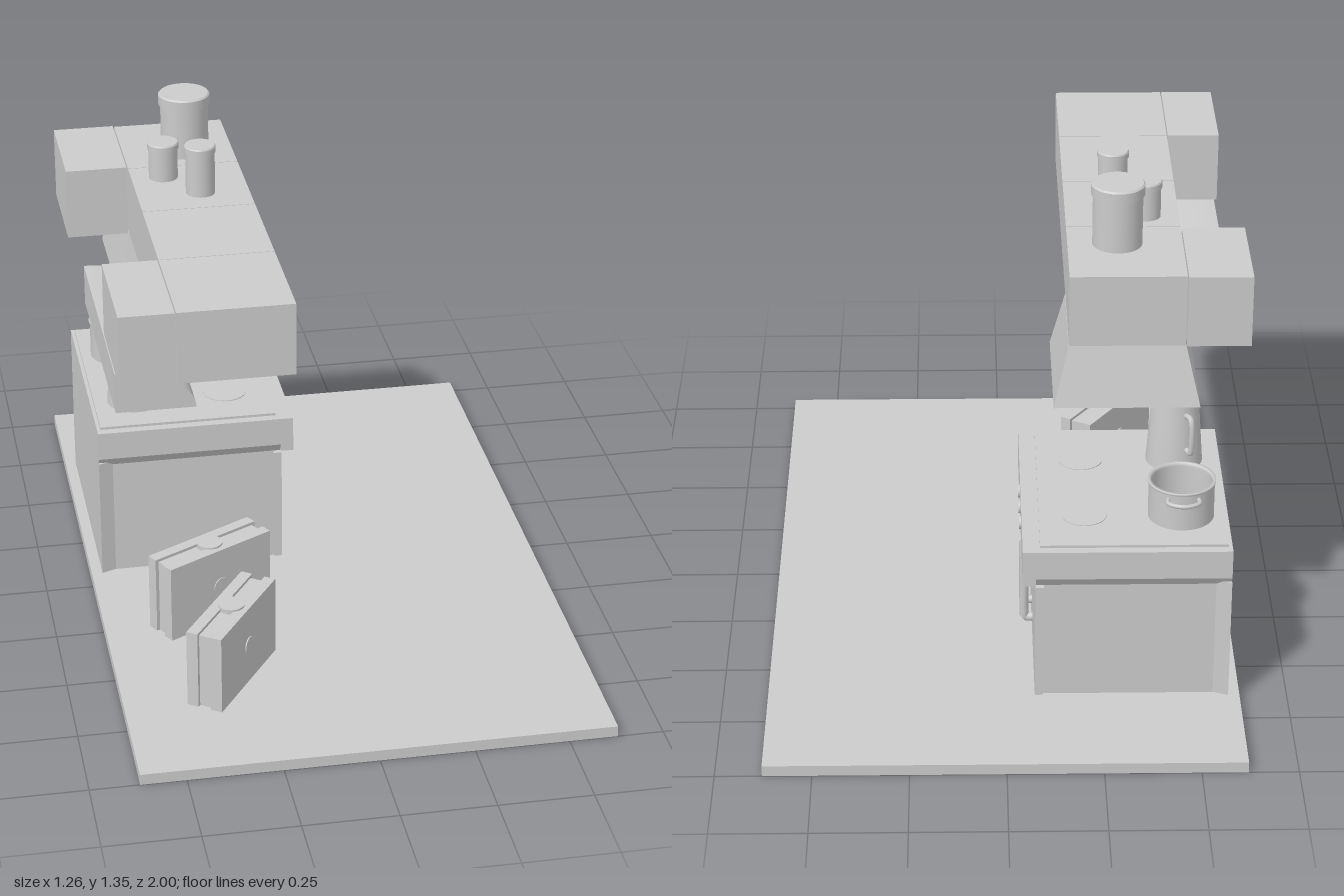
import * as THREE from 'three';

const grey = new THREE.MeshStandardMaterial({ color: 0xcccccc });
const thin = new THREE.MeshStandardMaterial({ color: 0xcccccc, side: THREE.DoubleSide });

function add(parent, name, geometry, x = 0, y = 0, z = 0, material = grey) {
  const mesh = new THREE.Mesh(geometry, material);
  mesh.name = name;
  mesh.position.set(x, y, z);
  parent.add(mesh);
  return mesh;
}

// Box given by its limits on each axis
function block(parent, name, x0, x1, y0, y1, z0, z1) {
  return add(parent, name, new THREE.BoxGeometry(x1 - x0, y1 - y0, z1 - z0),
    (x0 + x1) / 2, (y0 + y1) / 2, (z0 + z1) / 2);
}

function lathe(points, segments = 40, start = 0) {
  return new THREE.LatheGeometry(points.map(([r, y]) => new THREE.Vector2(r, y)), segments, start);
}

function tube(points, radius) {
  const curve = new THREE.CatmullRomCurve3(points.map(p => new THREE.Vector3(...p)));
  return new THREE.TubeGeometry(curve, 24, radius, 8);
}

function group(parent, name, x = 0, y = 0, z = 0, turn = 0) {
  const g = new THREE.Group();
  g.name = name;
  g.position.set(x, y, z);
  g.rotation.y = turn;
  parent.add(g);
  return g;
}

function addStove(root) {
  const stove = group(root, 'stove');
  // Body plan: sides step inwards past the rear corner posts
  const plan = new THREE.Shape([[-0.59, 0.02], [-0.55, 0.035], [-0.08, 0.035], [-0.08, 0.67], [-0.55, 0.67], [-0.59, 0.685]]
    .map(p => new THREE.Vector2(...p)));
  const body = new THREE.ExtrudeGeometry(plan, { depth: 0.345, bevelEnabled: false }).rotateX(-Math.PI / 2);
  add(stove, 'stoveBody', body, 0, 0.03, 0);
  // Top with sloped undersides
  const section = new THREE.Shape([[0.035, 0.365], [0.67, 0.365], [0.685, 0.39], [0.685, 0.47], [0.02, 0.47], [0.02, 0.39]]
    .map(p => new THREE.Vector2(...p)));
  const top = new THREE.ExtrudeGeometry(section, { depth: 0.51, bevelEnabled: false }).rotateY(Math.PI / 2);
  add(stove, 'stoveTop', top, -0.59, 0, 0);
  block(stove, 'controlPanel', -0.08, -0.045, 0.37, 0.47, -0.685, -0.02);
  block(stove, 'cooktop', -0.58, -0.09, 0.47, 0.477, -0.66, -0.045);
  for (const x of [-0.46, -0.21]) for (const z of [-0.5, -0.2]) {
    add(stove, 'burner', new THREE.CylinderGeometry(0.06, 0.06, 0.002, 32), x, 0.478, z);
  }
  for (const z of [-0.27, -0.355, -0.44]) {
    add(stove, 'knob', new THREE.CylinderGeometry(0.018, 0.018, 0.006, 20).rotateZ(Math.PI / 2), -0.043, 0.42, z);
  }
  // Pair of doors with bar handles
  block(stove, 'door', -0.1, -0.078, 0.035, 0.365, -0.685, -0.355);
  block(stove, 'door', -0.1, -0.078, 0.035, 0.365, -0.35, -0.02);
  for (const z of [-0.305, -0.395]) {
    add(stove, 'doorHandle', tube([[-0.08, 0.1, z], [-0.057, 0.1, z], [-0.055, 0.12, z], [-0.055, 0.195, z],
      [-0.055, 0.27, z], [-0.057, 0.285, z], [-0.08, 0.285, z]], 0.012));
  }
}

function addPot(root) {
  const pot = group(root, 'pot', -0.465, 0.477, -0.5);
  add(pot, 'potBody', lathe([[0, 0], [0.087, 0], [0.087, 0], [0.087, 0.1], [0.09, 0.104], [0.09, 0.109],
    [0.082, 0.109], [0.08, 0.1], [0.08, 0.012], [0.08, 0.012], [0, 0.012]]), 0, 0, 0, thin);
  for (const s of [1, -1]) {
    add(pot, 'potHandle', tube([[-0.04, 0.088, s * 0.075], [-0.04, 0.088, s * 0.1], [0, 0.088, s * 0.118],
      [0.04, 0.088, s * 0.1], [0.04, 0.088, s * 0.075]], 0.006));
  }
}

function addJug(root) {
  const jug = group(root, 'jug', -0.465, 0.477, -0.195, 0.42);
  const wall = lathe([[0, 0], [0.077, 0], [0.077, 0], [0.063, 0.195], [0.058, 0.195], [0.07, 0.01], [0.07, 0.01], [0, 0.01]], 48);
  add(jug, 'jugBody', wall, 0, 0, 0, thin);
  // Spout: half cone flaring to the rim
  add(jug, 'spout', new THREE.CylinderGeometry(0.02, 0.002, 0.05, 12, 1, true, -Math.PI / 2, Math.PI)
    .translate(0, 0.17, 0.062), 0, 0, 0, thin);
  add(jug, 'jugHandle', tube([[0, 0.16, -0.06], [0, 0.162, -0.09], [0, 0.145, -0.098], [0, 0.08, -0.098],
    [0, 0.06, -0.093], [0, 0.06, -0.068]], 0.008));
}

// Upright case made of two panels around a narrower core
function addCase(root, name, x, z, turn) {
  const c = group(root, name, x, 0.03, z, turn);
  block(c, 'core', -0.16, 0.16, 0, 0.212, -0.04, 0.04);
  block(c, 'frontPanel', -0.17, 0.17, 0, 0.22, 0.018, 0.05);
  block(c, 'backPanel', -0.17, 0.17, 0, 0.22, -0.05, -0.018);
  for (const s of [1, -1]) {
    add(c, 'sideKnob', new THREE.CylinderGeometry(0.024, 0.024, 0.004, 24).rotateX(Math.PI / 2), 0, 0.11, s * 0.051);
  }
  add(c, 'topDisc', new THREE.CylinderGeometry(0.035, 0.035, 0.014, 24), 0, 0.218, 0);
}

function addCabinets(root) {
  const cabinets = group(root, 'wallCabinets');
  const edges = [-0.51, -0.205, 0.088, 0.395, 0.713];
  for (let i = 0; i < 4; i++) {
    block(cabinets, 'cabinet', -0.465, -0.165, 0.98, 1.175, edges[i] + 0.001, edges[i + 1] - 0.001);
  }
  block(cabinets, 'rearSideCabinet', -0.633, -0.468, 0.98, 1.175, -0.515, -0.215);
  block(cabinets, 'frontSideCabinet', -0.61, -0.468, 0.98, 1.175, 0.395, 0.713);

  // Quarter-round rail under the cabinets
  const profile = new THREE.Shape();
  profile.moveTo(-0.607, 0.845);
  profile.lineTo(-0.4, 0.845);
  profile.absellipse(-0.607, 0.845, 0.207, 0.11, 0, Math.PI / 2, false);
  profile.closePath();
  add(cabinets, 'roundedRail', new THREE.ExtrudeGeometry(profile, { depth: 0.66, bevelEnabled: false, curveSegments: 24 }), 0, 0, -0.078);

  // Flared hood, open below
  const r = Math.SQRT2;
  const hood = lathe([[0, 0.145], [0.135 * r, 0.145], [0.165 * r, 0], [0.189 * r, 0], [0.151 * r, 0.16], [0, 0.16]], 4, Math.PI / 4).toNonIndexed();
  hood.computeVertexNormals();
  add(cabinets, 'hood', hood, -0.315, 0.82, -0.358, thin);

  // Lidded canisters on top: x, z, radius, height
  for (const [x, z, rad, h] of [[-0.295, -0.305, 0.07, 0.172], [-0.378, -0.135, 0.042, 0.103], [-0.295, -0.015, 0.042, 0.137]]) {
    const can = group(cabinets, 'canister', x, 1.175, z);
    const lid = rad * 0.45;
    add(can, 'canisterBody', new THREE.CylinderGeometry(rad * 0.93, rad * 0.93, h - lid, 40), 0, (h - lid) / 2, 0);
    add(can, 'canisterLid', new THREE.CylinderGeometry(rad, rad, lid - 0.004, 40), 0, h - lid / 2 - 0.002, 0);
    add(can, 'lidCap', new THREE.CylinderGeometry(rad * 0.94, rad, 0.004, 40), 0, h - 0.002, 0);
  }
}

export function createModel() {
  const root = new THREE.Group();
  root.name = 'kitchen';
  block(root, 'floor', -0.62, 0.628, 0, 0.03, -1, 1);
  addStove(root);
  addPot(root);
  addJug(root);
  addCase(root, 'frontCase', -0.317, 0.582, 0.977);
  addCase(root, 'rearCase', -0.324, 0.249, 0.506);
  addCabinets(root);
  return root;
}
